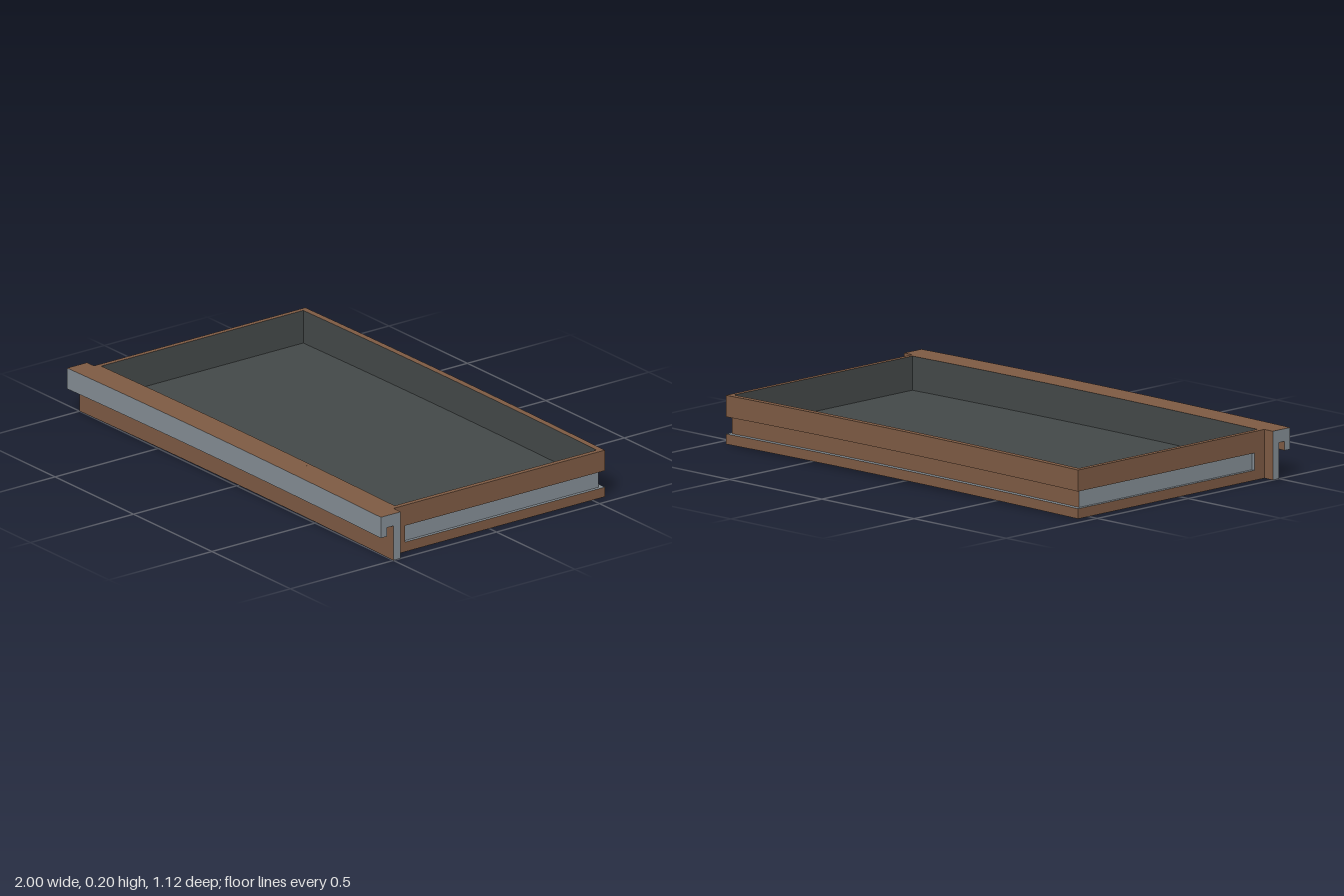
import * as THREE from 'three';

const wood = new THREE.MeshStandardMaterial({ color: 0x7d5a43, name: 'brown wood' });
const steel = new THREE.MeshStandardMaterial({ color: 0x848d94, name: 'grey steel' });
const lining = new THREE.MeshStandardMaterial({ color: 0x434848, name: 'dark lining' });

const BOW = 0.007, TOP = 0.193;      // rise at mid-width, height at the ends
const SIDE = 0.955, INNER = 0.935, GROOVE = 0.942;
const BACK = -0.56, BACK_IN = -0.535, WALL = 0.445, PANEL = 0.465;
const G0 = 0.04, G1 = 0.108;         // groove bottom and top

// Arch a geometry gently upward towards x = 0
function bow(geometry) {
  const p = geometry.attributes.position;
  for (let i = 0; i < p.count; i++) p.setY(i, p.getY(i) + BOW * (1 - p.getX(i) ** 2));
  return geometry;
}

export function createModel() {
  const model = new THREE.Group();
  model.name = 'drawer';

  // Box from limits; faces overrides the wood by side: px nx py ny pz nz
  function slab(name, [x0, x1], [y0, y1], [z0, z1], faces = {}) {
    const segments = x1 - x0 > 0.5 ? 24 : 1;
    const g = new THREE.BoxGeometry(x1 - x0, y1 - y0, z1 - z0, segments, 1, 1);
    g.translate((x0 + x1) / 2, (y0 + y1) / 2, (z0 + z1) / 2);
    const mats = ['px', 'nx', 'py', 'ny', 'pz', 'nz'].map((k) => faces[k] || wood);
    const mesh = new THREE.Mesh(bow(g), mats);
    mesh.name = name;
    model.add(mesh);
  }

  // Base, its exposed ledge forming the groove floor
  slab('base', [-SIDE, SIDE], [0, G0], [BACK, PANEL], { py: steel });
  slab('trayFloor', [-INNER, INNER], [G0, 0.058], [BACK_IN, WALL], { py: lining });

  // Front and back walls
  slab('frontWall', [-SIDE, SIDE], [G0, TOP], [WALL, PANEL], { nz: lining });
  slab('backGrooveWall', [-GROOVE, GROOVE], [G0, G1], [-0.54, BACK_IN],
    { pz: lining, px: steel, nx: steel });
  slab('backUpperWall', [-SIDE, SIDE], [G1, TOP], [BACK, BACK_IN], { pz: lining, ny: steel });

  // Side walls with a runner groove, mirrored
  for (const s of [1, -1]) {
    const span = (a, b) => (s > 0 ? [a, b] : [-b, -a]);
    const out = s > 0 ? 'px' : 'nx', inn = s > 0 ? 'nx' : 'px';
    const label = s > 0 ? 'left' : 'right';
    slab(label + 'UpperWall', span(INNER, SIDE), [G1, TOP], [BACK_IN, WALL],
      { [inn]: lining, ny: steel });
    slab(label + 'GrooveWall', span(INNER, GROOVE), [G0, G1], [BACK_IN, 0.41],
      { [inn]: lining, [out]: steel });
    slab(label + 'GrooveStop', span(INNER, SIDE), [G0, G1], [0.41, WALL],
      { [inn]: lining, nz: steel });
  }

  // Front panel with a hooked grip, profile in (z, y), run along x
  const profile = new THREE.Shape([
    [PANEL, 0], [0.5, 0], [0.5, 0.143], [0.53, 0.143],
    [0.53, 0.107], [0.56, 0.107], [0.56, TOP], [PANEL, TOP],
  ].map(([z, y]) => new THREE.Vector2(z, y)));
  const panelGeometry = new THREE.ExtrudeGeometry(profile, { depth: 2, steps: 24, bevelEnabled: false });
  panelGeometry.translate(0, 0, -1).rotateY(-Math.PI / 2);
  const panel = new THREE.Mesh(bow(panelGeometry), [steel, wood]);
  panel.name = 'frontPanel';
  model.add(panel);

  // Steel facing on the grip
  slab('gripFacing', [-1, 1], [0.107, TOP], [0.559, 0.561],
    { pz: steel, px: steel, nx: steel });

  return model;
}
